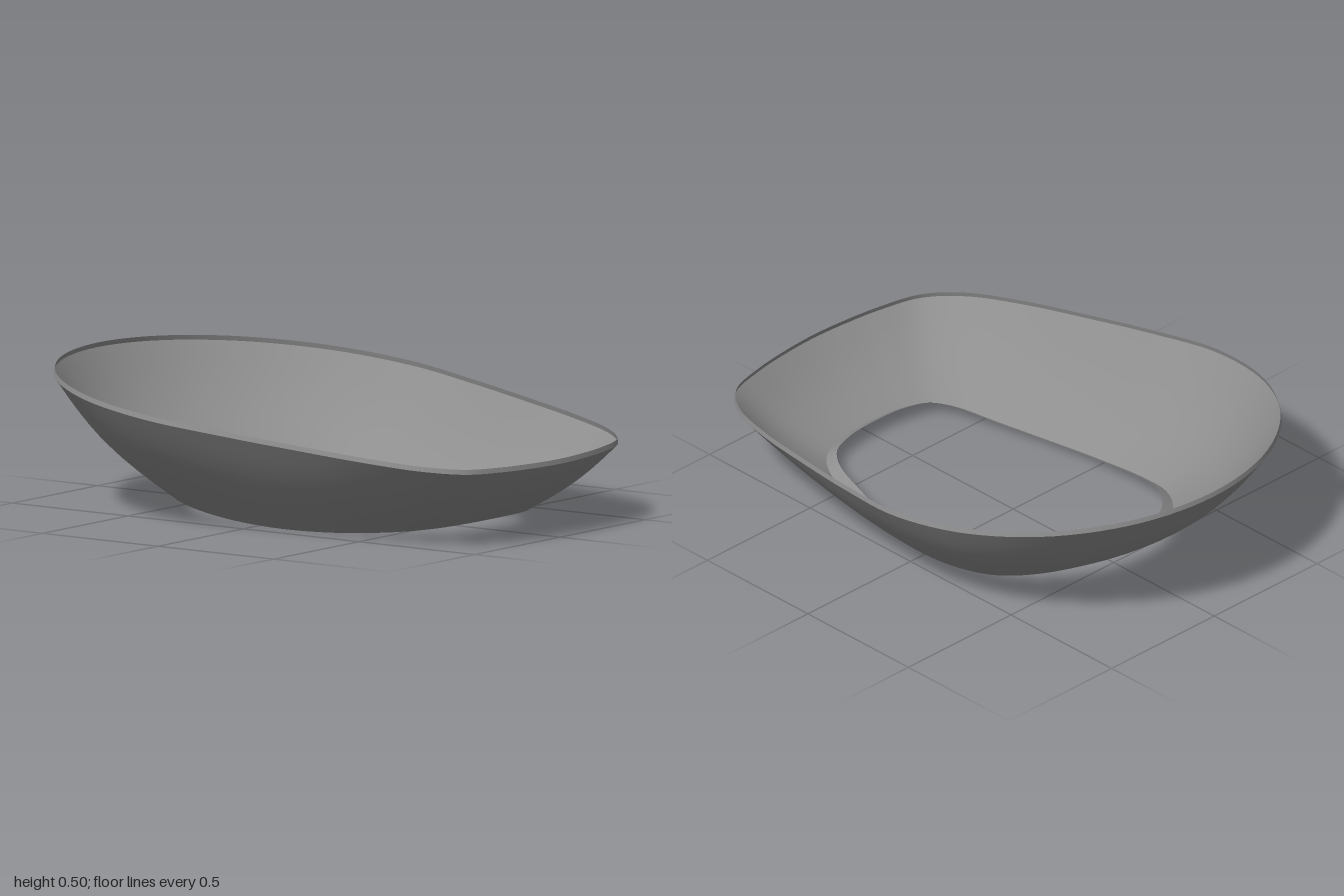
import * as THREE from 'three';

const SEGMENTS = 144;
const RIM = 0.017;

// Closed, mirrored outline from half a profile of [x, z] points
function outline(half) {
  const mirrored = half.slice(1, -1).reverse().map(([x, z]) => [x, -z]);
  const points = [...half, ...mirrored].map(([x, z]) => new THREE.Vector3(x, 0, z));
  return new THREE.CatmullRomCurve3(points, true, 'centripetal');
}

const topCurve = outline([
  [-1, 0], [-0.941, 0.298], [-0.772, 0.552], [-0.519, 0.721], [-0.22, 0.782], [0.08, 0.745],
  [0.35, 0.69], [0.6, 0.63], [0.8, 0.555], [0.92, 0.45], [0.97, 0.29], [0.992, 0.14], [1, 0],
]);
const bottomCurve = outline([
  [-0.605, 0], [-0.572, 0.17], [-0.478, 0.31], [-0.345, 0.405], [-0.18, 0.44], [0.04, 0.438],
  [0.25, 0.407], [0.45, 0.357], [0.6, 0.308], [0.675, 0.245], [0.71, 0.14], [0.718, 0.07], [0.72, 0],
]);

// Sloping top plane and bowed lower edge
function topPoint(u) {
  const p = topCurve.getPoint(u);
  p.y = 0.39 - 0.115 * p.x;
  return p;
}
function bottomPoint(u) {
  const p = bottomCurve.getPoint(u);
  p.y = 0.165 * (p.x - 0.22) ** 2;
  return p;
}
function inward(curve, u) {
  const t = curve.getTangent(u);
  return new THREE.Vector3(t.z, 0, -t.x).normalize();
}

// Band of quads around the ring; at(u, v) gives a point, v running upward
function band(name, rows, at, material) {
  const positions = [], index = [];
  for (let j = 0; j <= rows; j++) {
    for (let i = 0; i < SEGMENTS; i++) positions.push(...at(i / SEGMENTS, j / rows).toArray());
  }
  for (let j = 0; j < rows; j++) {
    for (let i = 0; i < SEGMENTS; i++) {
      const n = (i + 1) % SEGMENTS;
      const a = j * SEGMENTS + i, b = j * SEGMENTS + n;
      index.push(a, b, b + SEGMENTS, a, b + SEGMENTS, a + SEGMENTS);
    }
  }
  const geometry = new THREE.BufferGeometry();
  geometry.setAttribute('position', new THREE.Float32BufferAttribute(positions, 3));
  geometry.setIndex(index);
  geometry.computeVertexNormals();
  const mesh = new THREE.Mesh(geometry, material);
  mesh.name = name;
  return mesh;
}

export function createModel() {
  const group = new THREE.Group();
  group.name = 'openBowl';
  const material = new THREE.MeshStandardMaterial({ color: 0x8e8e8e, side: THREE.DoubleSide });

  // Flared wall, bulging outward and most at the round end
  const wall = (u, v) => {
    const top = topPoint(u);
    top.y -= RIM;
    const bulge = (0.018 + 0.02 * Math.max(0, -top.x)) * Math.sin(Math.PI * v);
    const out = inward(topCurve, u).multiplyScalar(-0.75);
    out.y = -0.65;
    return bottomPoint(u).lerp(top, v).addScaledVector(out, bulge);
  };
  group.add(band('wall', 14, wall, material));

  // Narrow upright rim
  const rim = (u, v) => {
    const p = topPoint(u);
    p.y -= RIM * (1 - v);
    return p.addScaledVector(inward(topCurve, u), 0.004 * v);
  };
  group.add(band('rim', 1, rim, material));

  // Lip around the opening, turned inward and up
  const lip = (u, v) => {
    const p = bottomPoint(u);
    p.addScaledVector(inward(bottomCurve, u), 0.036 * (1 - v));
    p.y += 0.022 * (1 - v);
    return p;
  };
  group.add(band('openingLip', 1, lip, material));

  return group;
}
